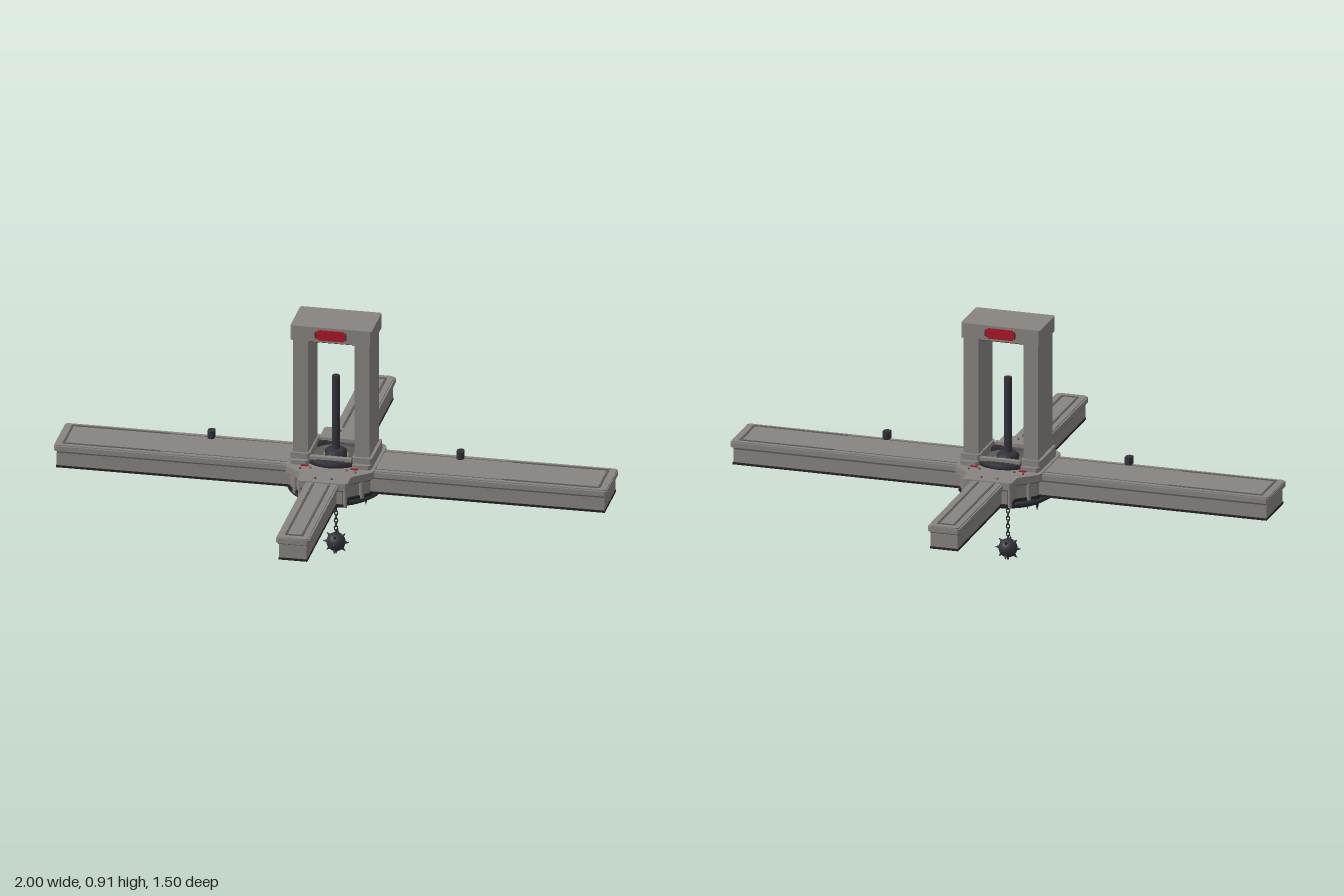
import * as THREE from 'three';

const mat = (name, color) => {
  const m = new THREE.MeshStandardMaterial({ color });
  m.name = name;
  return m;
};

export function createModel() {
  const model = new THREE.Group();
  const stone = mat('stone grey', 0x878380);
  const groove = mat('groove grey', 0x5c5957);
  const iron = mat('dark iron', 0x32323a);
  const under = mat('underside black', 0x262226);
  const red = mat('red', 0xa81826);

  const add = (name, geo, material, x = 0, y = 0, z = 0, parent = model) => {
    const m = new THREE.Mesh(geo, material);
    m.name = name;
    m.position.set(x, y, z);
    parent.add(m);
    return m;
  };
  // Box given by its centre in x and z and its bottom and top
  const box = (name, w, y0, y1, d, material, x = 0, z = 0, parent = model) =>
    add(name, new THREE.BoxGeometry(w, y1 - y0, d), material, x, (y0 + y1) / 2, z, parent);
  // Horizontal plate with chamfered corners
  const plate = (name, w, y0, y1, d, c, material, x = 0, z = 0, parent = model) => {
    const a = w / 2, b = d / 2;
    return slab(name, [[a, b - c], [a - c, b], [c - a, b], [-a, b - c], [-a, c - b], [c - a, -b], [a - c, -b], [a, c - b]],
      y0, y1, material, x, z, parent);
  };
  const slab = (name, points, y0, y1, material, x = 0, z = 0, parent = model) => {
    const shape = new THREE.Shape(points.map(p => new THREE.Vector2(p[0], p[1])));
    const geo = new THREE.ExtrudeGeometry(shape, { depth: y1 - y0, bevelEnabled: false });
    geo.rotateX(-Math.PI / 2);
    return add(name, geo, material, x, y0, z, parent);
  };
  const lathe = (name, pts, seg, material, parent = model) =>
    add(name, new THREE.LatheGeometry(pts.map(p => new THREE.Vector2(p[0], p[1])), seg), material, 0, 0, 0, parent);

  // Four arms, each built along +x and turned into place
  const arm = (name, length, half, angle, inset, thickTo) => {
    const g = new THREE.Group();
    g.name = name;
    g.rotation.y = angle;
    model.add(g);
    const start = 0.1, mid = (start + length) / 2, len = length - start;
    plate('armTop', len, 0.354, 0.372, half * 2, 0.008, stone, mid, 0, g);
    plate('armTopRim', len - 0.006, 0.372, 0.376, half * 2 - 0.012, 0.008, stone, mid, 0, g);
    box('armShadowStrip', len - 0.012, 0.346, 0.354, half * 2 - 0.012, groove, mid - 0.006, 0, g);
    box('armBody', len - 0.01, 0.296, 0.346, half * 2 - 0.02, stone, mid - 0.005, 0, g);
    box('armUnderside', len - 0.008, 0.288, 0.296, half * 2 - 0.016, under, mid - 0.004, 0, g);
    // Grooved border on the top face
    const end = length - 0.032;
    for (const s of [-1, 1]) {
      box('outerGroove', end - thickTo, 0.374, 0.378, 0.008, groove, (end + thickTo) / 2, s * inset, g);
      box('innerGroove', thickTo - 0.15, 0.374, 0.377, 0.003, groove, (thickTo + 0.15) / 2, s * inset, g);
    }
    box('endGroove', 0.008, 0.374, 0.378, inset * 2 + 0.008, groove, end, 0, g);
    return g;
  };
  for (const s of [0, 1]) {
    const long = arm('longArm', 1, 0.105, s * Math.PI, 0.08, 0.62);
    arm('shortArm', 0.75, 0.06, Math.PI / 2 + s * Math.PI, 0.029, 0.26);
    // Small dark bead hovering over the long arm
    plate('bead', 0.026, 0.411, 0.439, 0.037, 0.008, iron, 0.45, 0, long);
  }

  // Central hub: stepped cross with cut corners
  const hubOutline = (k) => {
    const q = [[0.16 - k, 0.105 - k], [0.155 - k, 0.125 - k], [0.1 - k, 0.172 - k], [0.092 - k, 0.18 - k], [0.092 - k, 0.238 - k], [0.084 - k, 0.246 - k]];
    const mirror = q.map(([x, z]) => [-x, z]).reverse();
    const half = [...q, ...mirror];
    return [...half, ...half.map(([x, z]) => [-x, -z])];
  };
  slab('hubTop', hubOutline(0), 0.354, 0.38, stone);
  slab('hubShadowStrip', hubOutline(0.007), 0.346, 0.354, groove);
  slab('hubBody', hubOutline(0.014), 0.296, 0.346, stone);
  slab('hubFoot', hubOutline(0.008), 0.286, 0.296, under);

  // Posts on the hub walls and studs on its top
  for (const sx of [-1, 1]) for (const sz of [-1, 1]) {
    add('hubPost', new THREE.CylinderGeometry(0.007, 0.007, 0.068, 8), stone, sx * 0.082, 0.32, sz * 0.234);
    add('hubPost', new THREE.CylinderGeometry(0.009, 0.009, 0.068, 8), stone, sx * 0.12, 0.32, sz * 0.135);
    for (const [x, z] of [[0.03, 0.215], [0.065, 0.13], [0.1, 0.14]])
      add('stud', new THREE.CylinderGeometry(0.004, 0.004, 0.006, 8), groove, sx * x, 0.382, sz * z);
    box('redMark', 0.026, 0.379, 0.384, 0.008, red, sx * 0.09, sz * 0.112);
  }

  // Round disc under the hub
  lathe('baseDisc', [[0, 0.25], [0.125, 0.25], [0.13, 0.245], [0.14, 0.245], [0.168, 0.262], [0.173, 0.268], [0.173, 0.276], [0.16, 0.286], [0, 0.286]], 40, iron);

  // Iron socket and shaft between the pillars
  lathe('socketRing', [[0.09, 0.378], [0.117, 0.378], [0.117, 0.395], [0.11, 0.402], [0.09, 0.402], [0.09, 0.378]], 32, iron);
  lathe('socketFloor', [[0.09, 0.378], [0.09, 0.386], [0.045, 0.386]], 32, groove).material.side = THREE.DoubleSide;
  lathe('shaftCollar', [[0.04, 0.38], [0.04, 0.4], [0.028, 0.41], [0, 0.41]], 20, iron);
  add('shaft', new THREE.CylinderGeometry(0.0135, 0.0135, 0.3, 14), iron, 0, 0.54, 0);
  for (const s of [-1, 1]) box('socketBar', 0.15, 0.4, 0.412, 0.02, stone, 0, s * 0.088);

  // Gate frame: two pillars, footings and lintel
  for (const s of [-1, 1]) {
    box('pillar', 0.055, 0.38, 0.852, 0.163, stone, s * 0.111);
    plate('pillarFooting', 0.072, 0.38, 0.418, 0.184, 0.006, stone, s * 0.113);
    plate('pillarPlinth', 0.068, 0.378, 0.396, 0.214, 0.008, stone, s * 0.113);
    // Red plaque with dark slats on the lintel face
    const plaque = new THREE.Group();
    plaque.name = 'plaque';
    plaque.rotation.y = s > 0 ? 0 : Math.PI;
    model.add(plaque);
    box('plaqueFace', 0.108, 0.864, 0.892, 0.007, red, 0, 0.0905, plaque);
    box('plaqueMiddle', 0.092, 0.859, 0.897, 0.006, red, 0, 0.0905, plaque);
    for (const e of [-1, 1]) box('plaqueEdge', 0.004, 0.868, 0.888, 0.008, iron, e * 0.055, 0.0905, plaque);
  }
  plate('lintel', 0.294, 0.85, 0.906, 0.176, 0.006, stone);
  box('lintelUnderside', 0.166, 0.846, 0.851, 0.163, under);

  // Row of hanging spikes, with red mounts
  for (const s of [-1, 1]) for (const x of [0.037, 0.072, 0.108]) {
    add('spikeMount', new THREE.CylinderGeometry(0.009, 0.007, 0.012, 8), red, s * x, 0.241, 0);
    add('spikeShaft', new THREE.CylinderGeometry(0.005, 0.005, 0.02, 8), iron, s * x, 0.232, 0);
    add('spikeTip', new THREE.ConeGeometry(0.007, 0.026, 8).rotateX(Math.PI), iron, s * x, 0.213, 0);
  }
  add('chainMount', new THREE.CylinderGeometry(0.027, 0.022, 0.012, 12), red, 0, 0.241, 0);
  add('chainMountTip', new THREE.CylinderGeometry(0.024, 0.008, 0.02, 12), iron, 0, 0.226, 0);

  // Chain of crossed links
  for (let i = 0; i < 10; i++) {
    const link = add('chainLink', new THREE.TorusGeometry(0.006, 0.0024, 6, 10), iron, 0, 0.217 - i * 0.0145, 0);
    link.scale.y = 1.4;
    link.rotation.y = (i % 2) * Math.PI / 2;
  }

  // Spiked ball
  const ball = new THREE.Group();
  ball.name = 'spikedBall';
  ball.position.y = 0.049;
  model.add(ball);
  add('ball', new THREE.SphereGeometry(0.034, 20, 14), iron, 0, 0, 0, ball);
  const up = new THREE.Vector3(0, 1, 0);
  const spike = (lat, lon) => {
    const d = new THREE.Vector3(Math.cos(lat) * Math.cos(lon), Math.sin(lat), Math.cos(lat) * Math.sin(lon));
    const c = add('ballSpike', new THREE.ConeGeometry(0.007, 0.018, 8), iron, 0, 0, 0, ball);
    c.position.copy(d).multiplyScalar(0.04);
    c.quaternion.setFromUnitVectors(up, d);
  };
  spike(-Math.PI / 2, 0);
  for (let i = 0; i < 4; i++) {
    spike(0, i * Math.PI / 2);
    for (const s of [-1, 1]) spike(s * Math.PI / 4, i * Math.PI / 2);
  }
  return model;
}
